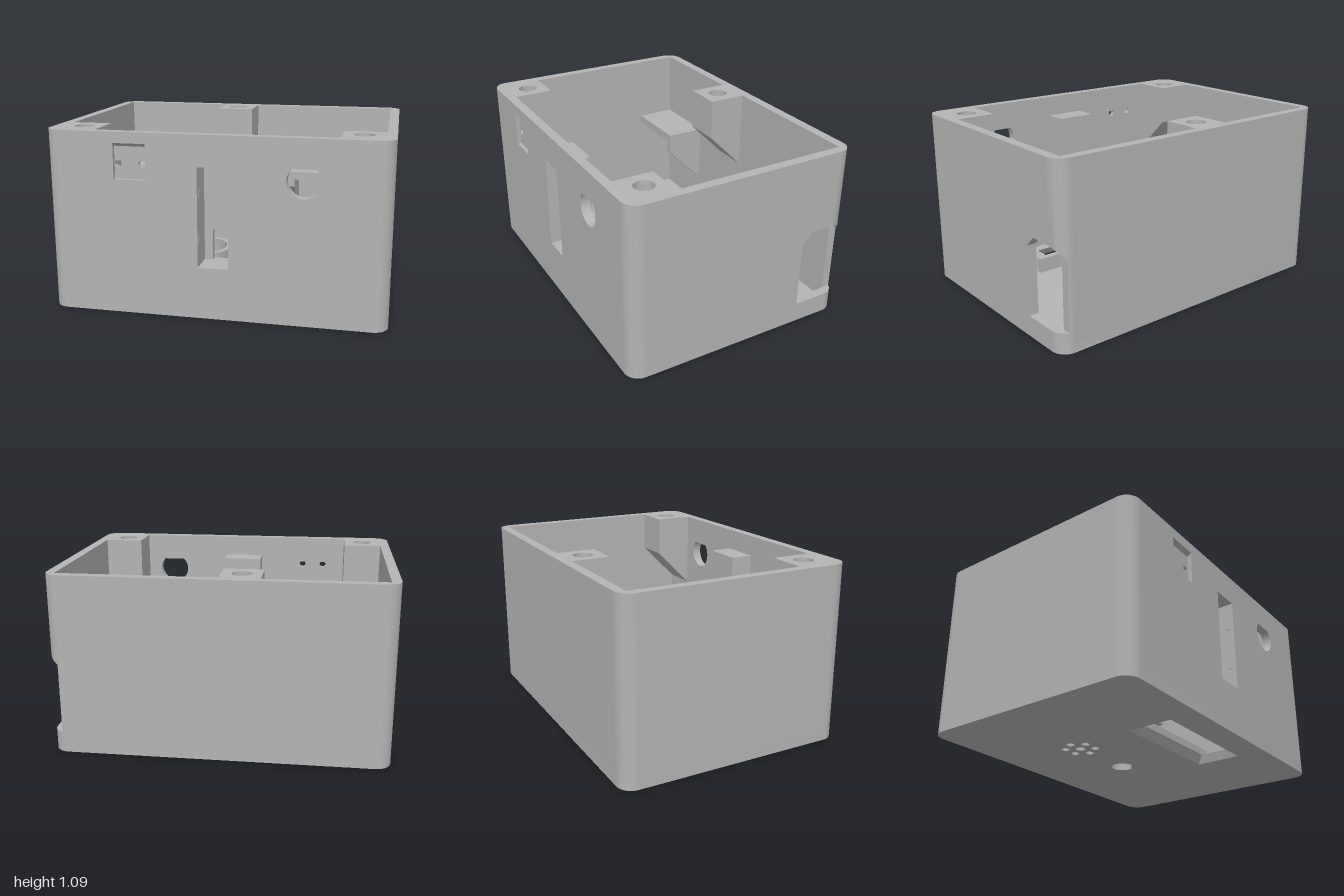
import * as THREE from 'three';
import { toCreasedNormals } from 'three/addons/utils/BufferGeometryUtils.js';

const H = 1.085, F = 0.055, X = 1, Z = 0.714, XI = 0.942, ZI = 0.656, R = 0.09;

export function createModel() {
  const group = new THREE.Group();
  const grey = new THREE.MeshStandardMaterial({ color: 0xb4b4b4 });
  grey.name = 'plainGrey';

  const poly = (pts) => new THREE.Shape(pts.map(([a, b]) => new THREE.Vector2(a, b)));
  const rect = (a, b, c, d) => poly([[a, b], [c, b], [c, d], [a, d]]);
  const circle = (x, y, r) => new THREE.Shape().absarc(x, y, r, 0, Math.PI * 2, false);
  const drop = (x, y, r) => {
    const s = new THREE.Shape();
    s.moveTo(x, y + r * Math.SQRT2);
    s.absarc(x, y, r, Math.PI * 0.75, Math.PI * 2.25, false);
    s.closePath();
    return s;
  };
  const extrude = (shape, depth, holes = []) => {
    shape.holes.push(...holes);
    return new THREE.ExtrudeGeometry(shape, { depth, bevelEnabled: false, curveSegments: 24 });
  };
  const add = (name, geo) => {
    const mesh = new THREE.Mesh(toCreasedNormals(geo, 0.5), grey);
    mesh.name = name;
    group.add(mesh);
  };
  const reshape = (geo, rule) => {
    const p = geo.attributes.position;
    const v = new THREE.Vector3();
    for (let i = 0; i < p.count; i++) {
      rule(v.fromBufferAttribute(p, i));
      p.setXYZ(i, v.x, v.y, v.z);
    }
    return geo;
  };
  // Plan shapes use (x, -z), front shapes (x, y), side shapes (-z, y)
  const rise = (shape, y0, y1, holes) =>
    extrude(shape, y1 - y0, holes).rotateX(-Math.PI / 2).translate(0, y0, 0);
  const front = (shape, z0, z1, holes) => extrude(shape, z1 - z0, holes).translate(0, 0, z0);
  const side = (shape, x0, x1, holes) =>
    extrude(shape, x1 - x0, holes).rotateY(Math.PI / 2).translate(x0, 0, 0);
  const box = (x0, x1, y0, y1, z0, z1) =>
    new THREE.BoxGeometry(x1 - x0, y1 - y0, z1 - z0)
      .translate((x0 + x1) / 2, (y0 + y1) / 2, (z0 + z1) / 2);

  // Floor with bevelled display window, sound holes and sensor hole
  const outline = new THREE.Shape();
  outline.absarc(X - R, Z - R, R, 0, Math.PI / 2);
  outline.absarc(-X + R, Z - R, R, Math.PI / 2, Math.PI);
  outline.absarc(-X + R, -Z + R, R, Math.PI, Math.PI * 1.5);
  outline.absarc(X - R, -Z + R, R, Math.PI * 1.5, Math.PI * 2);
  const floorHoles = [rect(-0.36, -0.5, 0.36, -0.285), circle(0.125, 0.175, 0.07), circle(-0.303, 0.175, 0.03)];
  for (let i = 0; i < 6; i++) {
    const a = i * Math.PI / 3;
    floorHoles.push(circle(-0.303 + 0.091 * Math.cos(a), 0.175 + 0.091 * Math.sin(a), 0.025));
  }
  add('floor', reshape(rise(outline, 0, F, floorHoles), (v) => {
    if (v.y < 0.01 && Math.abs(v.x) < 0.37 && v.z > 0.28 && v.z < 0.51) {
      v.x *= 1.05;
      v.z += v.z > 0.4 ? 0.035 : -0.035;
    }
  }));

  // Side and back walls between the rounded corners
  const ex = X - R, ez = Z - R;
  add('leftOuterWall', box(-X, -XI, F, H, -ez, ez));
  add('backWall', box(-ex, ex, F, H, -Z, -ZI));
  add('portWall', side(poly([[-ez, F], [ez, F], [ez, 0.125], [0.41, 0.125], [0.41, 0.545],
    [0.475, 0.61], [ez, 0.61], [ez, H], [-ez, H]]), XI, X));

  // Front wall in two layers: the outer one holds the recess with its sloped top
  const frontHoles = () => [rect(-0.09, 0.31, 0.09, 0.9), drop(0.515, 0.845, 0.098)];
  const zr = 0.688;
  add('frontWallInner', front(rect(-ex, F, ex, H), ZI, zr,
    [...frontHoles(), drop(-0.56, 0.9, 0.021), drop(-0.418, 0.9, 0.021)]));
  add('frontWallOuter', reshape(front(rect(-ex, F, ex, H), zr, Z, [...frontHoles(), rect(-0.582, 0.81, -0.39, 1.02)]),
    (v) => { if (v.z < zr + 0.001 && Math.abs(v.y - 1.02) < 0.001) v.y = 1.0; }));

  // Rounded corners; the port cuts through one of them
  const arc = (from, to) => {
    const pts = [];
    for (let i = 0; i <= 10; i++) {
      const a = from + (to - from) * i / 10;
      pts.push([ex + R * Math.cos(a), ez + R * Math.sin(a)]);
    }
    return pts;
  };
  const inner = [[ex, ZI], [XI, ZI], [XI, ez]];
  for (const [sx, sz] of [[-1, -1], [-1, 1], [1, -1]]) {
    const pts = [...arc(0, Math.PI / 2), ...inner].map(([x, y]) => [x * sx, y * sz]);
    add('corner', rise(poly(pts), F, H));
  }
  const split = Math.acos((XI - ex) / R);
  add('portCornerBack', rise(poly([...arc(split, Math.PI / 2), [ex, ZI], [XI, ZI]]), F, H));
  const portSide = () => poly([...arc(0, split), [XI, 0.65], [XI, ez]]);
  add('portCornerBase', rise(portSide(), F, 0.125));
  add('portCornerTop', reshape(rise(portSide(), 0.61, H), (v) => {
    if (v.y < 0.62) v.y = 0.61 - Math.max(0, -v.z - 0.65);
  }));

  // Screw posts with sloped undersides
  const post = (x0, x1, depth, s, cx, cz) => {
    const w = ZI * s, e = (ZI - depth) * s;
    add('screwPost', rise(rect(x0, -Math.max(w, e), x1, -Math.min(w, e)), 0.83, H, [circle(cx, -cz, 0.059)]));
    add('screwPostSlope', side(poly([[-w, 0.83], [-e, 0.83], [-w, 0.83 - depth]]), x0, x1));
  };
  post(-XI, -0.705, 0.245, 1, -0.823, 0.53);
  post(0.7, XI, 0.245, 1, 0.82, 0.53);
  post(-0.235, 0.003, 0.238, -1, -0.117, -0.54);

  // Back shelves, each on a gusset
  for (const [x0, x1, g, drop0] of [[-XI, -0.497, -0.545, 0.525], [0.262, XI, 0.262, 0.555]]) {
    add('shelf', box(x0, x1, 0.605, 0.66, -ZI, -0.4));
    add('shelfGusset', side(poly([[0.4, 0.605], [0.4, drop0], [ZI, drop0 - 0.256], [ZI, 0.605]]), g, g + 0.048));
  }

  // Switch housing behind the front slot
  const zt = 0.512;
  add('housingBack', front(rect(-0.127, 0.31, 0.125, 0.955), zt, 0.55, [rect(-0.04, 0.311, 0.09, 0.5)]));
  add('housingSide', box(-0.127, -0.09, 0.31, 0.955, 0.55, ZI));
  add('housingSide', box(0.09, 0.125, 0.31, 0.955, 0.55, ZI));
  add('housingTop', box(-0.09, 0.09, 0.9, 0.955, 0.55, ZI));
  add('housingBase', side(poly([[-zt, 0.31], [-zt, 0.27], [-ZI, 0.126], [-ZI, 0.31]]), -0.127, 0.125));
  for (const x of [-0.09, 0.09]) for (const y of [0.47, 0.74]) {
    add('clip', box(x - 0.004, x + 0.004, y - 0.02, y + 0.02, 0.66, 0.69));
  }

  // Display rails on the floor
  const rail = 0.15;
  add('displayRails', rise(poly([[-0.588, -0.17], [0.55, -0.17], [0.55, -0.213], [-0.545, -0.213],
    [-0.545, -0.566], [0.55, -0.566], [0.55, -0.61], [-0.588, -0.61]]), F, rail));

  // Round holders for speaker and sensor
  add('speakerRing', rise(circle(-0.303, 0.175, 0.212), F, 0.16, [circle(-0.303, 0.175, 0.178)]));
  add('sensorRing', rise(circle(0.125, 0.175, 0.178), F, 0.11, [circle(0.125, 0.175, 0.148)]));
  for (const mid of [0, Math.PI]) {
    const s = new THREE.Shape();
    s.absarc(0.125, 0.175, 0.178, mid - 1.13, mid + 1.13, false);
    s.absarc(0.125, 0.175, 0.148, mid + 1.05, mid - 1.05, true);
    s.closePath();
    add('sensorRingLip', rise(s, 0.11, 0.16));
  }

  return group;
}
